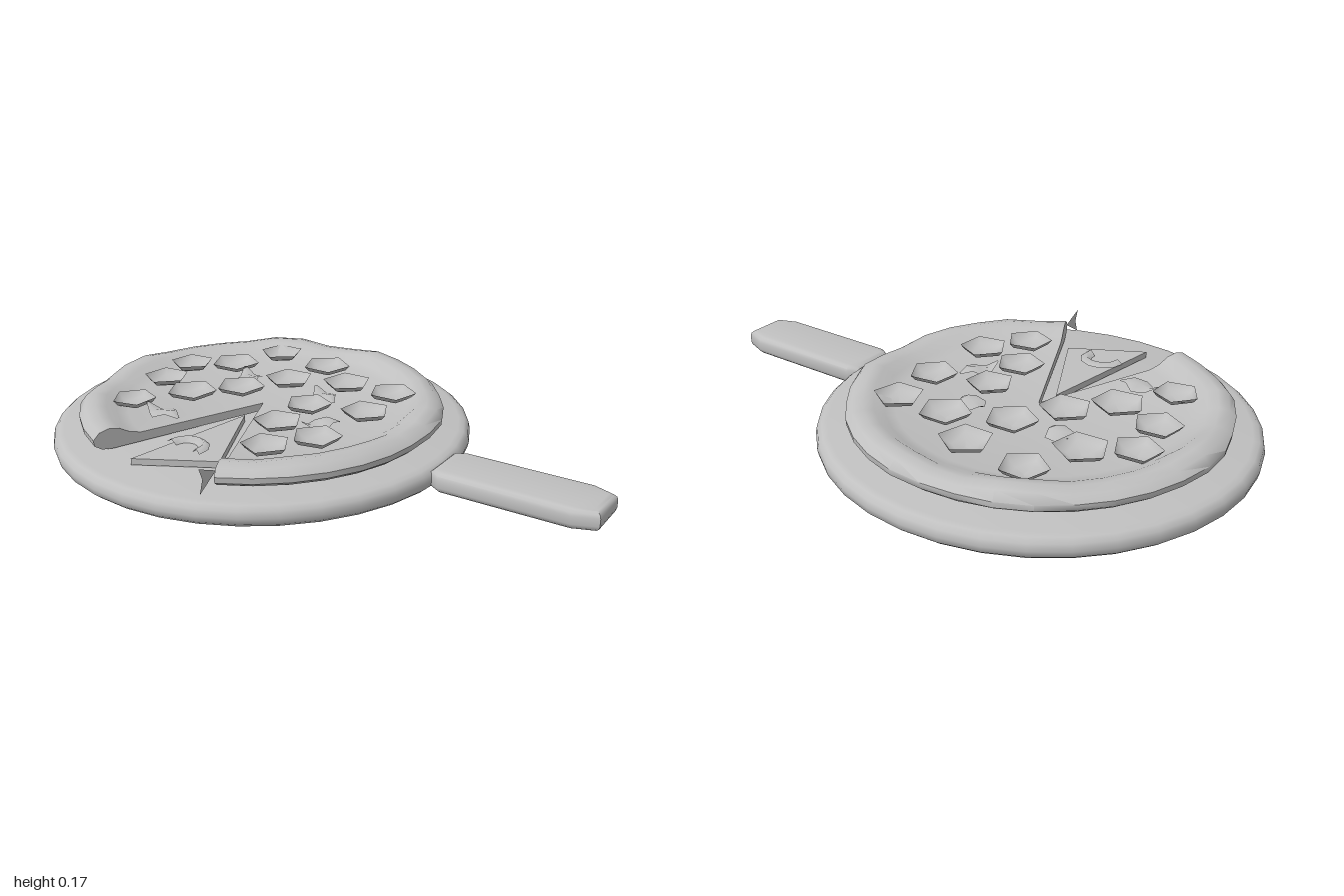
import * as THREE from 'three';
import { toCreasedNormals } from 'three/addons/utils/BufferGeometryUtils.js';

const CX = -0.27; // centre of the round board
const CUT = 0.4; // half angle of the missing wedge

export function createModel() {
  const model = new THREE.Group();
  const grey = new THREE.MeshStandardMaterial({ color: 0xc0c0c0, side: THREE.DoubleSide });
  grey.name = 'plain grey';
  const v2 = (list) => list.map(([x, y]) => new THREE.Vector2(x, y));
  const add = (name, geometry, parent = model) => {
    const mesh = new THREE.Mesh(geometry, grey);
    mesh.name = name;
    parent.add(mesh);
    return mesh;
  };

  // Round serving board with softened rim
  const board = new THREE.LatheGeometry(v2([
    [0, 0], [0.69, 0], [0.71, 0.004], [0.725, 0.017], [0.73, 0.038],
    [0.725, 0.06], [0.71, 0.073], [0.69, 0.077], [0, 0.077],
  ]), 36);
  add('board', toCreasedNormals(board, 0.7)).position.x = CX;

  // Handle: bevelled slab with clipped end corners
  const outline = new THREE.Shape(v2([
    [0.44, -0.08], [0.48, -0.105], [0.92, -0.105], [1, -0.075],
    [1, 0.075], [0.92, 0.105], [0.48, 0.105], [0.44, 0.08],
  ]));
  const handle = new THREE.ExtrudeGeometry(outline, {
    depth: 0.026, bevelThickness: 0.022, bevelSize: 0.025, bevelOffset: -0.025, bevelSegments: 3,
  });
  handle.rotateX(-Math.PI / 2).translate(0, 0.027, 0);
  add('handle', toCreasedNormals(handle, 0.7));

  // Pizza: turned profile with a wedge left out and an uneven crust
  const pizza = new THREE.Group();
  pizza.name = 'pizza';
  pizza.position.x = CX;
  model.add(pizza);
  const profile = v2([
    [0, 0.088], [0.57, 0.083], [0.61, 0.088], [0.635, 0.105], [0.637, 0.125],
    [0.615, 0.147], [0.58, 0.155], [0.545, 0.148], [0.51, 0.128], [0.47, 0.117], [0, 0.115],
  ]);
  const crust = new THREE.LatheGeometry(profile, 30, CUT, 2 * Math.PI - 2 * CUT);
  const p = crust.attributes.position;
  for (let i = 0; i < p.count; i++) {
    const x = p.getX(i), z = p.getZ(i), y = p.getY(i);
    if (Math.hypot(x, z) < 0.49 || y < 0.1) continue;
    const a = Math.atan2(x, z);
    const fade = Math.min(1, Math.max(0, (Math.abs(a) - CUT) * 3));
    const wave = fade * (Math.sin(a * 7 + 1) + 0.7 * Math.sin(a * 11));
    const s = 1 + 0.006 * (wave - 0.8 * fade);
    p.setXYZ(i, x * s, y + 0.007 * wave * (y > 0.14 ? 1 : 0.2), z * s);
  }
  add('crust', toCreasedNormals(crust, 0.8), pizza);

  // Cut faces on both sides of the wedge
  for (const side of [-1, 1]) {
    const face = add('cutFace', new THREE.ShapeGeometry(new THREE.Shape(profile)), pizza);
    face.rotation.y = side * CUT - Math.PI / 2;
  }

  // Thin torn tip beside the cut
  const tip = new THREE.Shape(v2([[0.56, 0.135], [0.64, 0.17], [0.625, 0.13], [0.64, 0.085]]));
  const tipMesh = add('tornTip', new THREE.ShapeGeometry(tip), pizza);
  tipMesh.rotation.y = -Math.PI / 2;
  tipMesh.position.x = 0.235;

  // Loose slice lying in the wedge
  const slice = new THREE.ExtrudeGeometry(
    new THREE.Shape(v2([[-0.275, -0.1], [-0.36, -0.585], [-0.11, -0.45]])),
    { depth: 0.022, bevelEnabled: false },
  );
  slice.rotateX(-Math.PI / 2).translate(0, 0.08, 0);
  add('slice', slice);

  // Curled pepperoni cups, five sided: x, z, radius
  const cup = (radius) => new THREE.LatheGeometry(v2([
    [0, 0], [radius * 0.5, 0.004], [radius * 0.82, 0.014], [radius, 0.032],
  ]), 5);
  const cups = [
    [-0.48, -0.41, 0.08], [-0.25, -0.38, 0.088], [-0.09, -0.27, 0.088], [0.1, -0.27, 0.085],
    [-0.29, -0.19, 0.088], [-0.56, -0.22, 0.09], [-0.7, -0.13, 0.08], [-0.39, -0.03, 0.088],
    [-0.68, 0.04, 0.082], [-0.51, 0.1, 0.09], [0.11, -0.07, 0.085], [-0.09, -0.02, 0.082],
    [-0.09, 0.16, 0.085], [0.09, 0.2, 0.085], [-0.01, 0.34, 0.082], [-0.63, 0.27, 0.078],
  ];
  cups.forEach(([x, z, radius], i) => {
    const mesh = add('pepperoni', cup(radius));
    mesh.position.set(x, 0.118, z);
    mesh.rotation.y = i * 1.9;
  });

  // Bent half topping on the loose slice
  const half = new THREE.LatheGeometry(v2([
    [0.04, 0.004], [0.06, 0.022], [0.08, 0.008],
  ]), 6, Math.PI / 2 - 0.3, Math.PI + 0.3);
  add('sliceTopping', half).position.set(-0.265, 0.1, 0.43);

  // Crumpled leaves: folded diamonds x, z, length, turn
  const leaves = [
    [-0.45, -0.16, 0.065, -0.7], [-0.11, -0.15, 0.065, -0.5],
    [0.02, 0.07, 0.07, 1], [-0.49, 0.28, 0.075, -0.1],
  ];
  for (const [x, z, length, turn] of leaves) {
    const leaf = new THREE.PlaneGeometry(length * 2, 0.1, 4, 2).rotateX(-Math.PI / 2);
    const q = leaf.attributes.position;
    for (let i = 0; i < q.count; i++) {
      const t = q.getX(i) / length;
      const w = q.getZ(i) * (1 - 0.9 * Math.abs(t));
      q.setXYZ(i, q.getX(i), 0.018 + 0.012 * Math.sin(t * 5) - Math.abs(w) * 0.25, w);
    }
    leaf.computeVertexNormals();
    const mesh = add('leaf', leaf);
    mesh.position.set(x, 0.118, z);
    mesh.rotation.y = turn;
  }
  return model;
}
